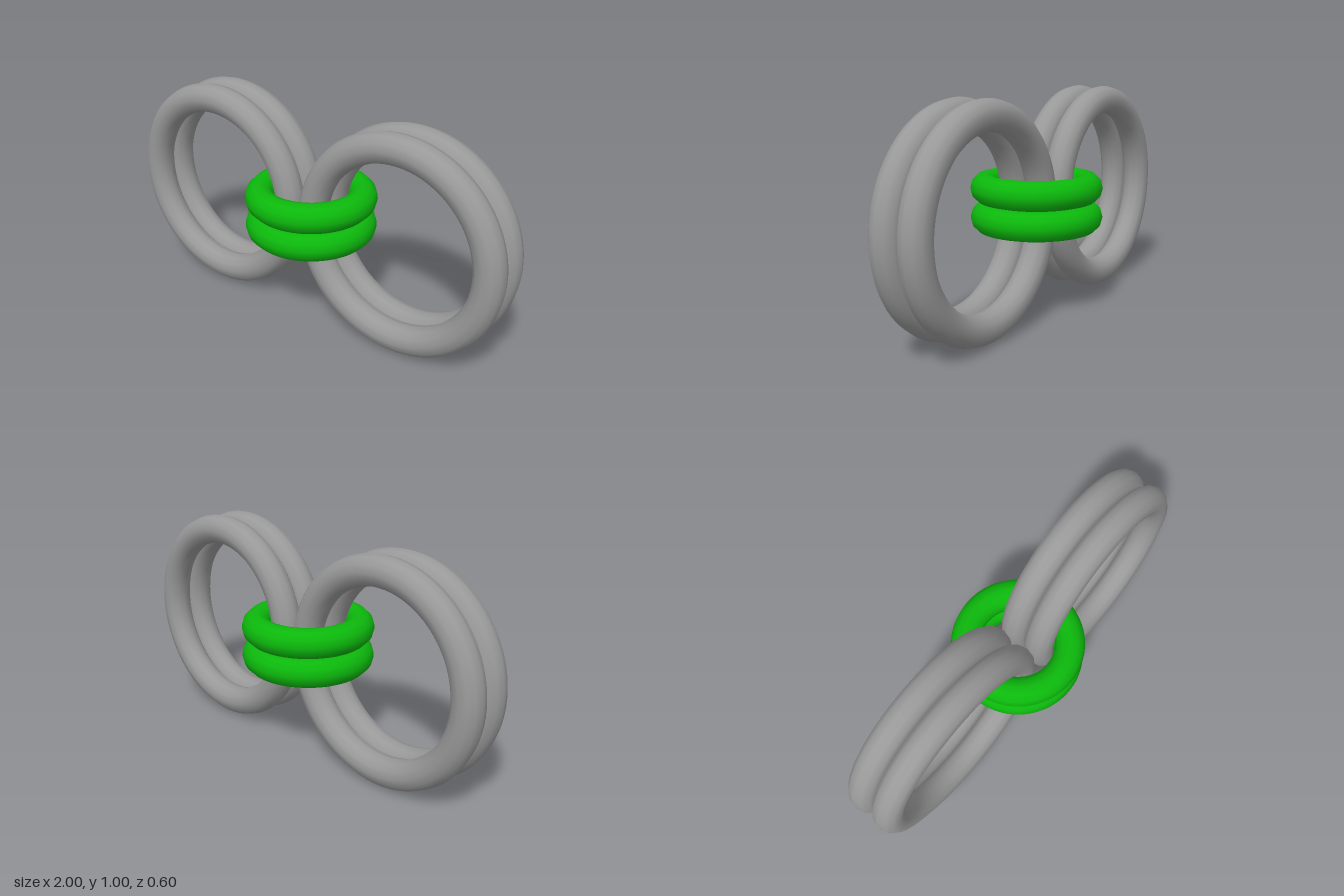
import * as THREE from 'three';

const TUBE = 0.067; // thickness radius shared by every ring

export function createModel() {
  const model = new THREE.Group();
  const grey = new THREE.MeshStandardMaterial({ color: 0x999999 });
  const green = new THREE.MeshStandardMaterial({ color: 0x0cb80c });

  // Outer radius includes the tube thickness
  const ringGeometry = (outer) => new THREE.TorusGeometry(outer - TUBE, TUBE, 12, 96);
  const largeRing = ringGeometry(0.5);
  const smallRing = ringGeometry(0.3);

  const addRing = (name, geometry, material, x, y, z) => {
    const ring = new THREE.Mesh(geometry, material);
    ring.name = name;
    ring.position.set(x, y, z);
    model.add(ring);
    return ring;
  };

  // Two pairs of upright rings, side by side
  for (const [side, sx] of [['left', 1], ['right', -1]]) {
    for (const [depth, sz] of [['Front', 1], ['Back', -1]]) {
      addRing(`${side}${depth}Ring`, largeRing, grey, sx * 0.5, 0.5, sz * TUBE);
    }
  }

  // A stacked pair of flat rings joining the two sides
  for (const [level, sy] of [['upper', 1], ['lower', -1]]) {
    const ring = addRing(`${level}ConnectingRing`, smallRing, green, 0, 0.5 + sy * TUBE, 0);
    ring.rotation.x = Math.PI / 2;
  }

  return model;
}
